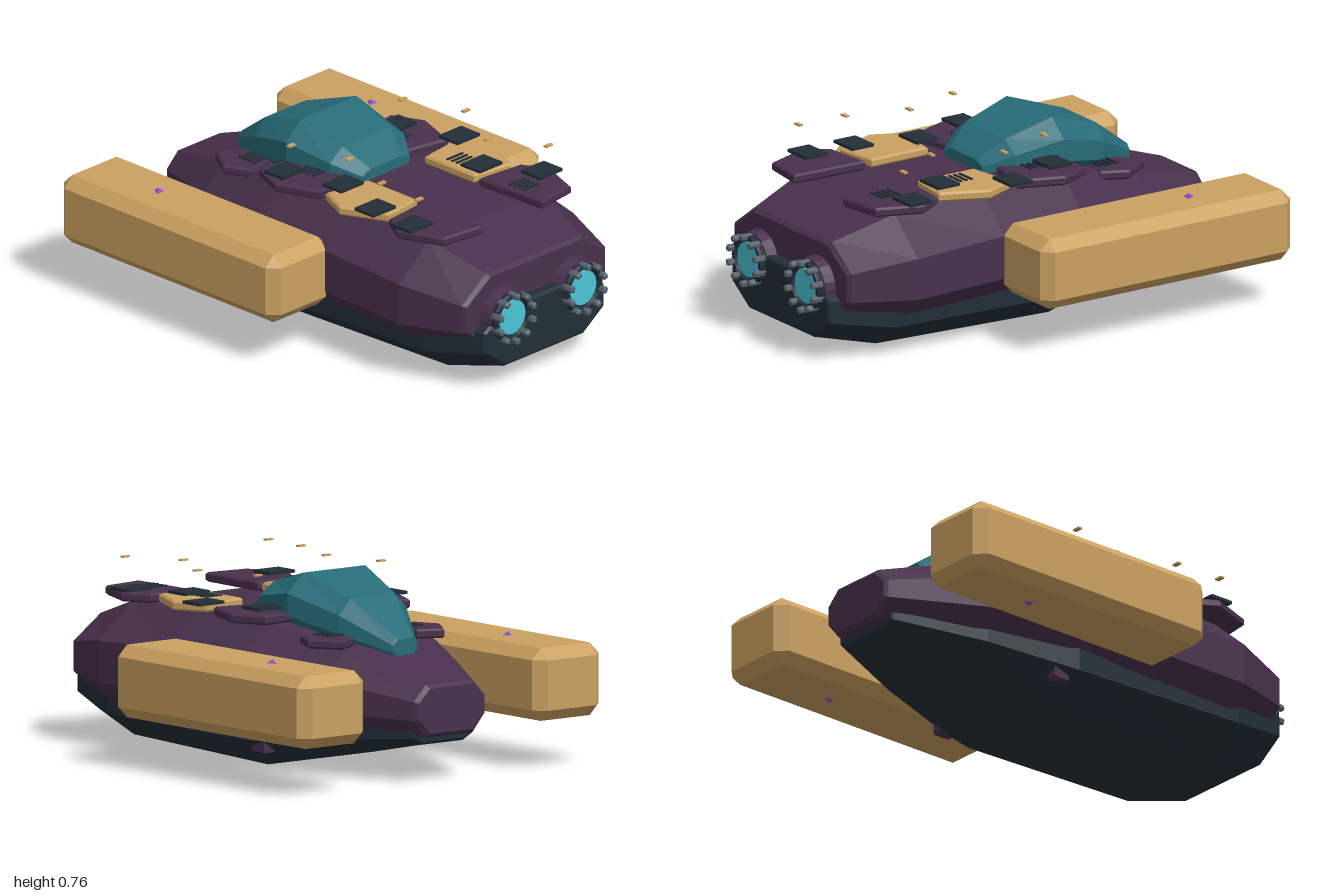
import * as THREE from 'three';
import { ConvexGeometry } from 'three/addons/geometries/ConvexGeometry.js';

const mat = (name, color, flat = true) => {
  const m = new THREE.MeshStandardMaterial({ color, flatShading: flat });
  m.name = name;
  return m;
};

// Octagonal cross-section, counter-clockwise seen from +z
function octagon([z, w, b, t, low = 0.66, high = 0.66]) {
  const h = t - b, y1 = b + h * 0.34, y2 = b + h * 0.7;
  return [[w * low, b], [w, y1], [w, y2], [w * high, t],
    [-w * high, t], [-w, y2], [-w, y1], [-w * low, b]].map(([x, y]) => [x, y, z]);
}

// Skin over sections ordered from back (-z) to front (+z), with bevelled ends
function loft(sections, bevel = 0.015) {
  const shrink = ([z, w, b, t, ...r], dz) => [z + dz, w - bevel, b + bevel, t - bevel, ...r];
  const first = sections[0], last = sections[sections.length - 1];
  const rings = [shrink(first, -bevel), ...sections, shrink(last, bevel)].map(octagon);
  const pos = [];
  const tri = (a, b, c) => pos.push(...a, ...b, ...c);
  const n = 8, end = rings[rings.length - 1];
  for (let i = 0; i < rings.length - 1; i++) {
    for (let j = 0; j < n; j++) {
      const k = (j + 1) % n;
      tri(rings[i][j], rings[i][k], rings[i + 1][k]);
      tri(rings[i][j], rings[i + 1][k], rings[i + 1][j]);
    }
  }
  for (let j = 1; j < n - 1; j++) {
    tri(rings[0][0], rings[0][j + 1], rings[0][j]);
    tri(end[0], end[j], end[j + 1]);
  }
  const g = new THREE.BufferGeometry();
  g.setAttribute('position', new THREE.Float32BufferAttribute(pos, 3));
  g.computeVertexNormals();
  return g;
}

// Box with every edge cut at 45 degrees
function chamferBox(w, h, d, c) {
  const pts = [];
  for (const x of [-1, 1]) for (const y of [-1, 1]) for (const z of [-1, 1]) {
    const X = x * w / 2, Y = y * h / 2, Z = z * d / 2;
    pts.push(new THREE.Vector3(X, Y - y * c, Z - z * c),
      new THREE.Vector3(X - x * c, Y, Z - z * c),
      new THREE.Vector3(X - x * c, Y - y * c, Z));
  }
  return new ConvexGeometry(pts);
}

// Flat armour plate from an outline of [x, z] points
function plateGeometry(outline, side, y) {
  const bevel = 0.008;
  const shape = new THREE.Shape(outline.map(([x, z]) => new THREE.Vector2(side * x, -z)));
  const g = new THREE.ExtrudeGeometry(shape, {
    depth: 0.022, bevelEnabled: true, bevelSize: bevel, bevelThickness: bevel, bevelOffset: -bevel, bevelSegments: 1,
  });
  g.rotateX(-Math.PI / 2);
  g.translate(0, y + bevel, 0);
  return g;
}

export function createModel() {
  const purple = mat('hull purple', 0x48304c);
  const dark = mat('dark slate', 0x222e37);
  const tan = mat('tan', 0xcaa160);
  const teal = mat('canopy teal', 0x276c78);
  const cyan = mat('engine cyan', 0x4cc6d6);
  const grey = mat('engine grey', 0x58636e);
  const violet = mat('violet', 0x8a4cd4);

  const model = new THREE.Group();
  model.name = 'spacecraft';
  const add = (name, geo, material, x = 0, y = 0, z = 0, parent = model) => {
    const m = new THREE.Mesh(geo, material);
    m.name = name;
    m.position.set(x, y, z);
    parent.add(m);
    return m;
  };

  // Bodies: [z, half width, bottom, top]
  add('upperHull', loft([
    [-0.965, 0.18, 0.19, 0.40], [-0.6, 0.35, 0.15, 0.505], [-0.2, 0.46, 0.11, 0.58],
    [0.2, 0.48, 0.10, 0.592], [0.62, 0.49, 0.10, 0.572], [0.88, 0.405, 0.16, 0.49],
  ]), purple);
  add('lowerHull', loft([
    [-0.92, 0.16, 0.155, 0.24], [-0.55, 0.30, 0.085, 0.28], [-0.16, 0.40, 0.005, 0.32],
    [0.67, 0.405, 0.03, 0.33], [0.935, 0.34, 0.095, 0.345],
  ], 0.01), dark);
  add('canopy', loft([
    [-0.685, 0.065, 0.46, 0.55], [-0.49, 0.172, 0.48, 0.69], [-0.25, 0.24, 0.52, 0.77],
    [-0.04, 0.208, 0.54, 0.71], [0.06, 0.14, 0.56, 0.64],
  ], 0.008), teal);

  // Armour plates, one row per pair
  const plates = [
    ['rearPlate', purple, 0.512, [[0.16, -0.57], [0.26, -0.62], [0.34, -0.5], [0.29, -0.39], [0.15, -0.42]]],
    ['shoulderPlate', purple, 0.58, [[0.16, -0.25], [0.37, -0.27], [0.43, -0.13], [0.36, 0.06], [0.16, 0.02]]],
    ['tanPlate', tan, 0.59, [[0.16, 0.125], [0.37, 0.095], [0.43, 0.23], [0.345, 0.42], [0.16, 0.395]]],
    ['frontPlate', purple, 0.588, [[0.16, 0.425], [0.37, 0.445], [0.43, 0.55], [0.36, 0.735], [0.17, 0.76]]],
  ];
  // Dark hatches with a tag floating above: left x, right x, z
  const hatches = [[0.29, -0.34, -0.16], [0.385, -0.27, 0.095], [0.25, -0.35, 0.35], [0.37, -0.36, 0.565]];
  const hatchGeo = new THREE.BoxGeometry(0.128, 0.012, 0.104);
  const tagGeo = new THREE.BoxGeometry(0.036, 0.007, 0.018);
  for (const [xl, xr, z] of hatches) {
    for (const x of [xl, xr]) {
      add('hatch', hatchGeo, dark, x, 0.634, z);
      add('hatchTag', tagGeo, tan, x - 0.004, 0.756, z + 0.04);
    }
  }
  // Vent slits: x, y, middle z
  const vents = [[0.235, 0.629, 0.255], [0.235, 0.628, 0.6], [0.2, 0.553, -0.465], [-0.2, 0.553, -0.465],
    [0.235, 0.62, -0.105], [-0.235, 0.62, -0.105]];
  const slitGeo = new THREE.BoxGeometry(0.088, 0.008, 0.01);
  for (const [x, y, z] of vents) {
    for (let i = 0; i < 4; i++) add('ventSlit', slitGeo, dark, x, y, z + (i - 1.5) * 0.025);
  }

  // Engine parts
  const axial = (r1, r2, d, n) => new THREE.CylinderGeometry(r1, r2, d, n).rotateX(Math.PI / 2);
  const collarGeo = axial(0.108, 0.118, 0.06, 20);
  const backGeo = axial(0.1, 0.1, 0.02, 20);
  const glowGeo = axial(0.072, 0.072, 0.012, 24);
  const ringGeo = new THREE.TorusGeometry(0.092, 0.014, 6, 24);
  const finGeo = chamferBox(0.024, 0.026, 0.055, 0.005);

  for (const side of [1, -1]) {
    for (const [name, material, y, outline] of plates) {
      add(name, plateGeometry(outline, side, y), material);
    }

    // Side pod with small markers above and below
    add('sidePod', chamferBox(0.34, 0.29, 1.2, 0.045), tan, side * 0.6, 0.345, -0.4);
    const topMarker = new THREE.ConeGeometry(0.036, 0.024, 3).rotateY(Math.PI);
    add('podMarkerTop', topMarker, violet, side * 0.6, 0.494, -0.6);
    add('podMarkerBottom', topMarker.clone().rotateZ(Math.PI), violet, side * 0.6, 0.196, -0.6);
    add('keelBlock', new THREE.BoxGeometry(0.08, 0.08, 0.075), purple, side * 0.325, 0.11, -0.22);

    // Engine facing forward
    const engine = new THREE.Group();
    engine.name = 'engine';
    engine.position.set(side * 0.2, 0.305, 0);
    model.add(engine);
    add('engineCollar', collarGeo, purple, 0, 0, 0.91, engine);
    add('engineBack', backGeo, dark, 0, 0, 0.942, engine);
    add('engineGlow', glowGeo, cyan, 0, 0, 0.956, engine);
    add('engineRing', ringGeo, dark, 0, 0, 0.958, engine);
    for (let i = 0; i < 10; i++) {
      const a = (i + 0.5) * Math.PI / 5;
      const fin = add('engineFin', finGeo, grey, Math.cos(a) * 0.096, Math.sin(a) * 0.096, 0.97, engine);
      fin.rotation.z = a;
    }
  }
  return model;
}
